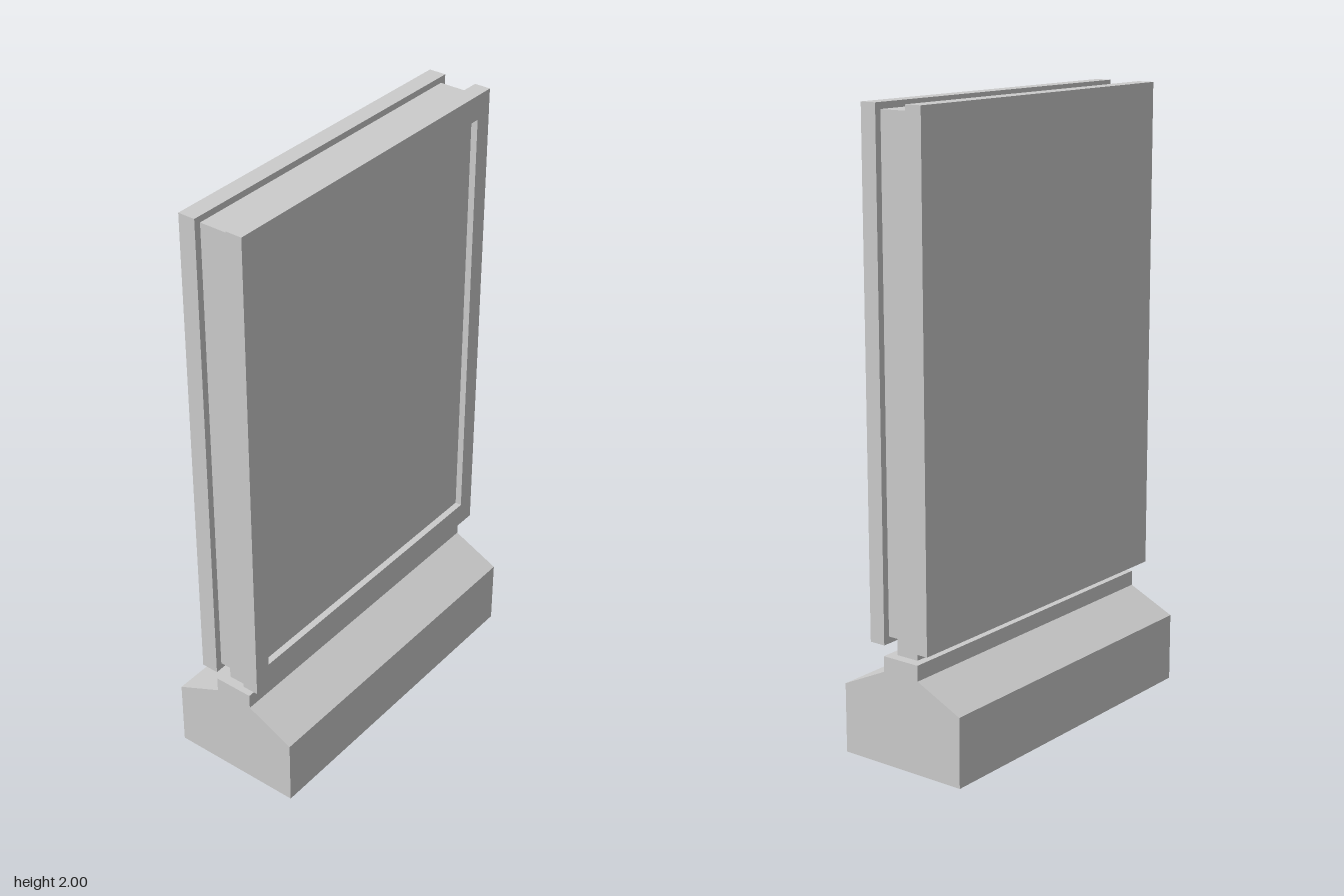
import * as THREE from 'three';

const material = new THREE.MeshStandardMaterial({ color: 0xcccccc, flatShading: true, side: THREE.DoubleSide });

function add(parent, name, geometry) {
  const mesh = new THREE.Mesh(geometry, material);
  mesh.name = name;
  parent.add(mesh);
  return mesh;
}

// Box given by half width, bottom/top and back/front
function block(halfWidth, y0, y1, z0, z1) {
  return new THREE.BoxGeometry(halfWidth * 2, y1 - y0, z1 - z0)
    .translate(0, (y0 + y1) / 2, (z0 + z1) / 2);
}

function rectangle(target, halfWidth, y0, y1) {
  target.moveTo(-halfWidth, y0);
  target.lineTo(halfWidth, y0);
  target.lineTo(halfWidth, y1);
  target.lineTo(-halfWidth, y1);
  target.closePath();
  return target;
}

// Sloped shell, extruded along x, with its underside left open
function baseShell() {
  const width = 1.128;
  const half = [[0.225, 0], [0.225, 0.225], [0.066, 0.3], [0.066, 0.35]];
  const outline = [...half, ...half.map(([z, y]) => [-z, y]).reverse()];
  const shape = new THREE.Shape(outline.map(([z, y]) => new THREE.Vector2(z, y)));
  const solid = new THREE.ExtrudeGeometry(shape, { depth: width, bevelEnabled: false })
    .translate(0, 0, -width / 2).rotateY(Math.PI / 2);
  const p = solid.toNonIndexed ? (solid.index ? solid.toNonIndexed() : solid).attributes.position : null;
  const kept = [];
  for (let i = 0; i < p.count; i += 3) {
    const corners = [i, i + 1, i + 2];
    if (corners.every((c) => p.getY(c) < 1e-4)) continue;
    for (const c of corners) kept.push(p.getX(c), p.getY(c), p.getZ(c));
  }
  const shell = new THREE.BufferGeometry();
  shell.setAttribute('position', new THREE.Float32BufferAttribute(kept, 3));
  shell.computeVertexNormals();
  return shell;
}

export function createModel() {
  const group = new THREE.Group();
  group.name = 'displayStand';

  // Foot and neck
  add(group, 'base', baseShell());
  add(group, 'neck', block(0.532, 0.35, 0.412, -0.039, 0.039));

  // Core between the two panels
  add(group, 'core', block(0.553, 0.412, 1.98, -0.056, 0.054));

  // Plain back panel
  add(group, 'backPanel', block(0.575, 0.39, 2, -0.113, -0.056));

  // Front panel: raised frame around a recessed screen
  const front = new THREE.Group();
  front.name = 'frontPanel';
  const recess = 0.022, z0 = 0.054, z1 = 0.108;
  add(front, 'screen', block(0.575, 0.39, 2, z0, z1 - recess));
  const frame = rectangle(new THREE.Shape(), 0.575, 0.39, 2);
  frame.holes.push(rectangle(new THREE.Path(), 0.516, 0.47, 1.92));
  add(front, 'frame', new THREE.ExtrudeGeometry(frame, { depth: recess, bevelEnabled: false })
    .translate(0, 0, z1 - recess));
  group.add(front);

  return group;
}
